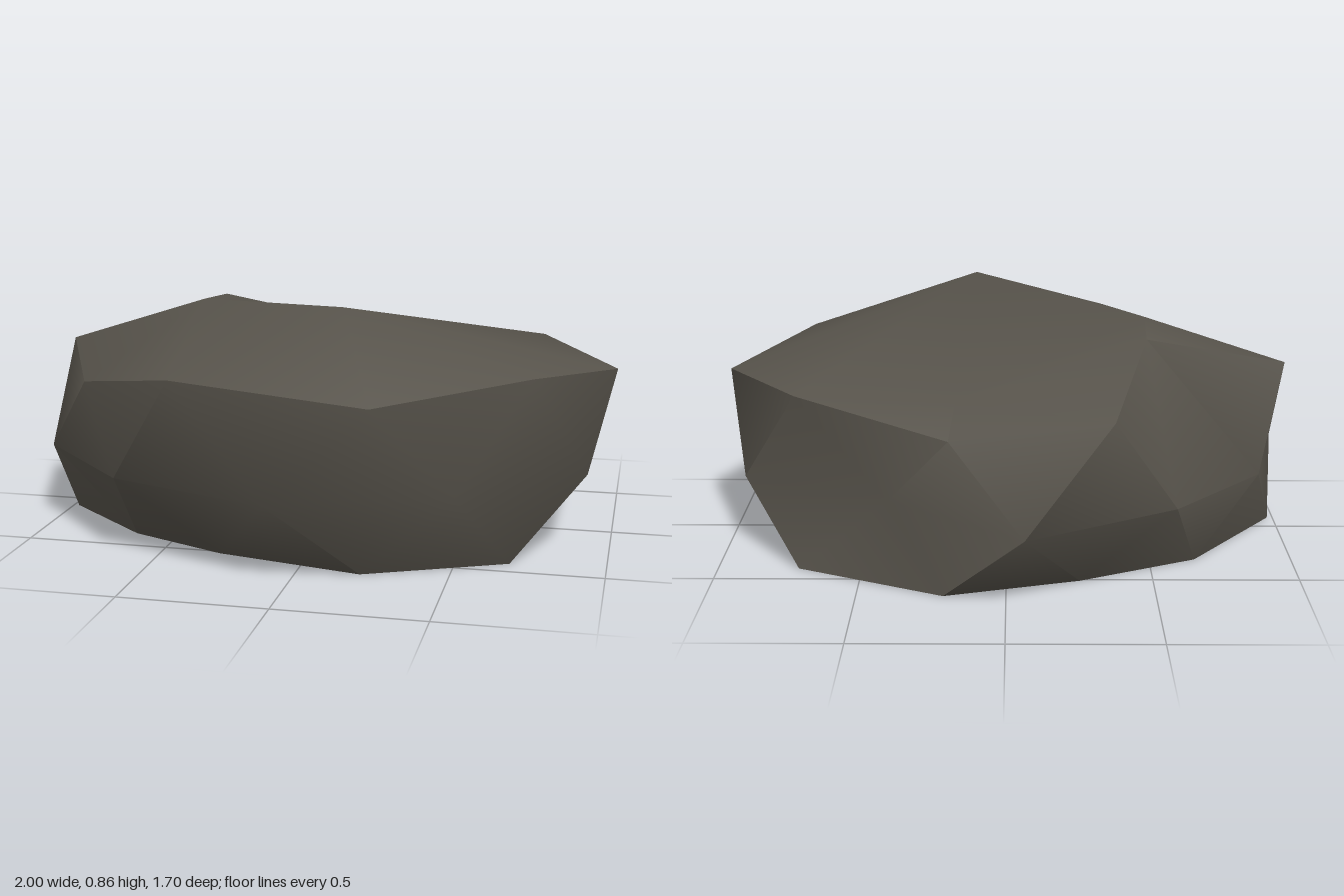
import * as THREE from 'three';
import { toCreasedNormals } from 'three/addons/utils/BufferGeometryUtils.js';

// Cross-sections of the boulder, each running round from the back left
const base = [
  [-0.66, 0, -0.32], [-0.25, 0, -0.51], [0.21, 0, -0.64], [0.72, 0, -0.41],
  [0.75, 0, 0], [0.68, 0, 0.42], [0.21, 0, 0.63], [-0.3, 0, 0.52],
  [-0.65, 0, 0.37], [-0.98, 0, 0.09],
];
const belly = [
  [-0.89, 0.28, -0.21], [-0.57, 0.28, -0.56], [-0.06, 0.28, -0.85], [0.4, 0.28, -0.49],
  [0.92, 0.28, -0.24], [0.92, 0.28, 0.26], [0.52, 0.28, 0.64], [-0.06, 0.28, 0.85],
  [-0.63, 0.28, 0.64], [-1, 0.28, 0.26],
];
const rim = [
  [-0.48, 0.775, -0.23], [-0.35, 0.62, -0.69], [0.19, 0.52, -0.58], [0.71, 0.63, -0.43],
  [1, 0.6, 0.02], [0.75, 0.65, 0.49], [0.28, 0.61, 0.85], [-0.38, 0.66, 0.8],
  [-0.82, 0.55, 0.39], [-1, 0.63, 0.01],
];

// Points inside the rim: the summit, a lower shoulder and a hollow at the back
const peak = [0.12, 0.86, 0.48];
const shoulder = [-0.49, 0.795, 0.02];
const hollow = [0.17, 0.615, -0.43];

// Angle of a ring's k-th point, unwrapped past a full turn
const angle = (ring, k) => {
  const p = ring[k % ring.length];
  return Math.atan2(p[2], p[0]) + 2 * Math.PI * Math.floor(k / ring.length);
};

// Joins two rings of different counts with a band of triangles
function stitch(lower, upper, add) {
  let i = 0, j = 0;
  while (i < lower.length || j < upper.length) {
    const l = lower[i % lower.length], u = upper[j % upper.length];
    const stepLower = j >= upper.length ||
      (i < lower.length && angle(lower, i + 1) < angle(upper, j + 1));
    if (stepLower) add(l, u, lower[++i % lower.length]);
    else add(l, u, upper[++j % upper.length]);
  }
}

export function createModel() {
  const positions = [];
  const add = (...corners) => corners.forEach((p) => positions.push(...p));

  // Sides
  stitch(base, belly, add);
  stitch(belly, rim, add);

  // Underside
  base.forEach((p, k) => add([0, 0, 0], p, base[(k + 1) % base.length]));

  // Top: each rim edge rises to its nearest inner point
  const apex = [
    hollow, hollow, hollow, peak, peak, peak, peak, shoulder, shoulder, shoulder,
  ];
  rim.forEach((p, k) => {
    const next = (k + 1) % rim.length;
    add(apex[k], rim[next], p);
    if (apex[next] !== apex[k]) add(apex[k], apex[next], rim[next]);
  });
  add(shoulder, peak, hollow);

  const geometry = new THREE.BufferGeometry();
  geometry.setAttribute('position', new THREE.Float32BufferAttribute(positions, 3));

  const stone = new THREE.MeshStandardMaterial({ color: 0x57534b });
  stone.name = 'dark stone';
  const boulder = new THREE.Mesh(toCreasedNormals(geometry, 0.905), stone);
  boulder.name = 'boulder';

  const group = new THREE.Group();
  group.name = 'rock';
  group.add(boulder);
  return group;
}
